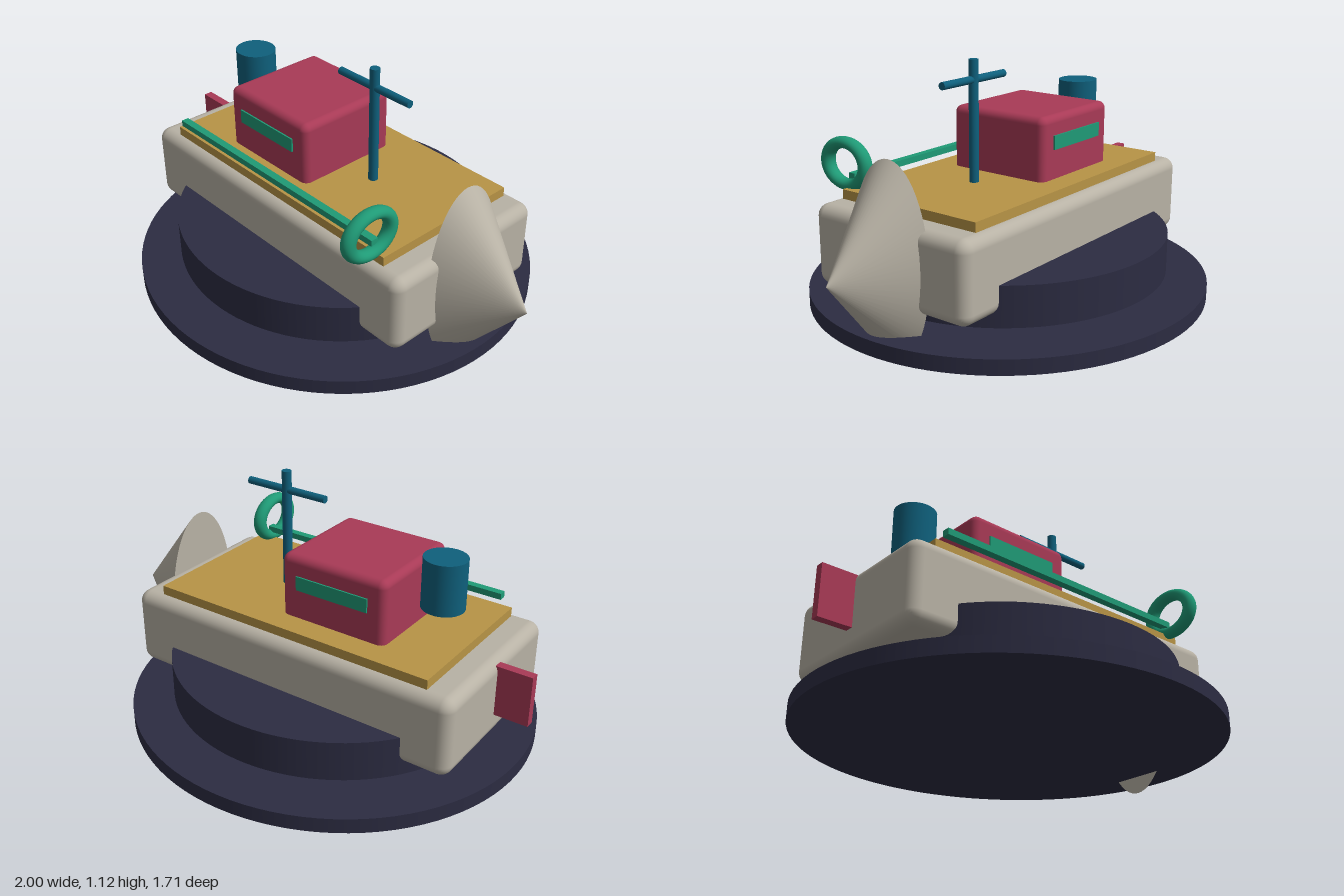
import * as THREE from 'three';
import { RoundedBoxGeometry } from 'three/addons/geometries/RoundedBoxGeometry.js';

const paint = (name, color) => {
  const m = new THREE.MeshStandardMaterial({ color });
  m.name = name;
  return m;
};

export function createModel() {
  const navy = paint('navy', 0x2c2c42);
  const stone = paint('warm grey', 0xb8b2a5);
  const ochre = paint('ochre', 0xb89446);
  const crimson = paint('crimson', 0xa83a56);
  const teal = paint('deep teal', 0x0f607c);
  const green = paint('sea green', 0x1f9a76);

  const model = new THREE.Group();
  model.name = 'boat';

  const add = (name, geometry, material, x, y, z) => {
    const mesh = new THREE.Mesh(geometry, material);
    mesh.name = name;
    mesh.position.set(x, y, z);
    model.add(mesh);
    return mesh;
  };
  // Parts given by their extents: [min, max] on each axis
  const box = (name, material, [x0, x1], [y0, y1], [z0, z1], radius = 0) => {
    const size = [x1 - x0, y1 - y0, z1 - z0];
    const geometry = radius ? new RoundedBoxGeometry(...size, 4, radius) : new THREE.BoxGeometry(...size);
    return add(name, geometry, material, (x0 + x1) / 2, (y0 + y1) / 2, (z0 + z1) / 2);
  };
  // Upright cylinder with an oval footprint
  const oval = (name, material, x, [y0, y1], rx, rz, sides = 64) =>
    add(name, new THREE.CylinderGeometry(1, 1, y1 - y0, sides).scale(rx, 1, rz), material, x, (y0 + y1) / 2, 0);

  // Two stacked oval discs underneath
  oval('baseDisc', navy, -0.075, [0.075, 0.14], 0.895, 0.855, 96);
  oval('upperDisc', navy, -0.075, [0.18, 0.352], 0.71, 0.68, 96);

  // Hull, deck, cabin and rudder
  box('hull', stone, [-0.855, 0.7], [0.23, 0.57], [-0.393, 0.393], 0.05);
  box('deck', ochre, [-0.73, 0.58], [0.55, 0.61], [-0.346, 0.346]);
  box('cabin', crimson, [-0.472, 0.016], [0.56, 0.88], [-0.239, 0.239], 0.032);
  box('rudder', crimson, [-1, -0.837], [0.33, 0.55], [-0.019, 0.019]);

  // Window strips on both cabin sides
  for (const side of [-1, 1]) {
    box('window', green, [-0.395, -0.06], [0.737, 0.797], [side * 0.242 - 0.004, side * 0.242 + 0.004]);
  }

  // Bow cone pointing along +x
  const cone = new THREE.ConeGeometry(1, 0.33, 64, 1).rotateZ(-Math.PI / 2).scale(1, 0.405, 0.198);
  add('bowCone', cone, stone, 0.835, 0.405, 0);

  // Funnel, mast and yard
  oval('funnel', teal, -0.592, [0.72, 0.935], 0.09, 0.086, 48);
  oval('mast', teal, 0.166, [0.58, 1.12], 0.021, 0.02, 24);
  const yard = new THREE.CylinderGeometry(0.016, 0.016, 0.39, 20).rotateZ(Math.PI / 2);
  add('yard', yard, teal, 0.165, 1.037, 0);

  // Side rail and lifebuoy
  box('rail', green, [-0.685, 0.53], [0.64, 0.667], [0.327, 0.36]);
  const ring = new THREE.TorusGeometry(0.107, 0.03, 20, 48).rotateY(Math.PI / 2).scale(1, 0.82, 1);
  add('lifebuoy', ring, green, 0.53, 0.703, 0.371);

  return model;
}
